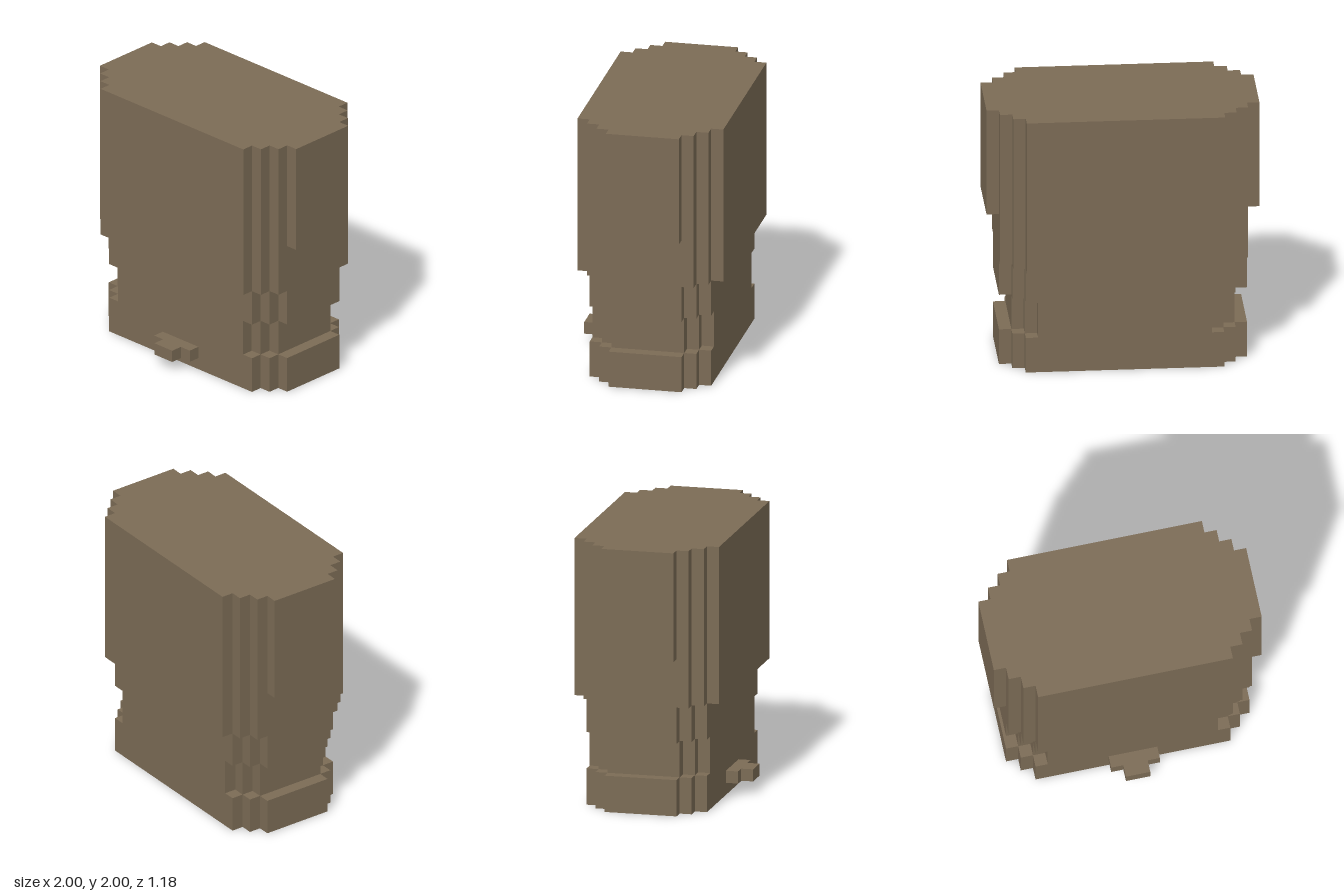
import * as THREE from 'three';

const U = 1 / 11; // one block
const ZC = -0.5; // body centre in z, in blocks

export function createModel() {
  const group = new THREE.Group();
  const brown = new THREE.MeshStandardMaterial({ color: 0x7b6b55 });
  brown.name = 'brown';

  function add(name, geometry) {
    const mesh = new THREE.Mesh(geometry, brown);
    mesh.name = name;
    group.add(mesh);
    return mesh;
  }

  // Slab with stair-stepped corners: half width grows as half depth shrinks
  function slab(name, halfX, halfZ, steps, y0, y1) {
    const quarter = [];
    for (let i = 0; i < steps; i++) {
      quarter.push([halfX + i, halfZ - i]);
      if (i < steps - 1) quarter.push([halfX + i, halfZ - i - 1]);
    }
    const back = [...quarter].reverse();
    const outline = [
      ...back,
      ...quarter.map(([x, z]) => [-x, z]),
      ...back.map(([x, z]) => [-x, -z]),
      ...quarter.map(([x, z]) => [x, -z]),
    ];
    const shape = new THREE.Shape(outline.map(([x, z]) => new THREE.Vector2(x * U, z * U)));
    const geometry = new THREE.ExtrudeGeometry(shape, { depth: (y1 - y0) * U, bevelEnabled: false });
    geometry.rotateX(-Math.PI / 2);
    geometry.translate(0, y0 * U, ZC * U);
    add(name, geometry);
  }

  function block(name, w, h, d, x, y, z) {
    add(name, new THREE.BoxGeometry(w * U, h * U, d * U)).position.set(x * U, y * U, z * U);
  }

  // Body layers from the ground up
  slab('base', 8, 5, 3, 0, 3);
  slab('notchedWaist', 7, 5, 3, 3, 6);
  slab('collar', 8, 5, 3, 6, 9);
  slab('upperBody', 8, 6, 3, 9, 13);
  slab('wideTop', 8, 6, 4, 13, 22);

  // Small stepped tab at the lower front
  block('frontTab', 4, 1, 1, 0, 1.5, 5);
  block('frontTabTip', 2, 1, 1, 0, 1.5, 6);

  return group;
}
